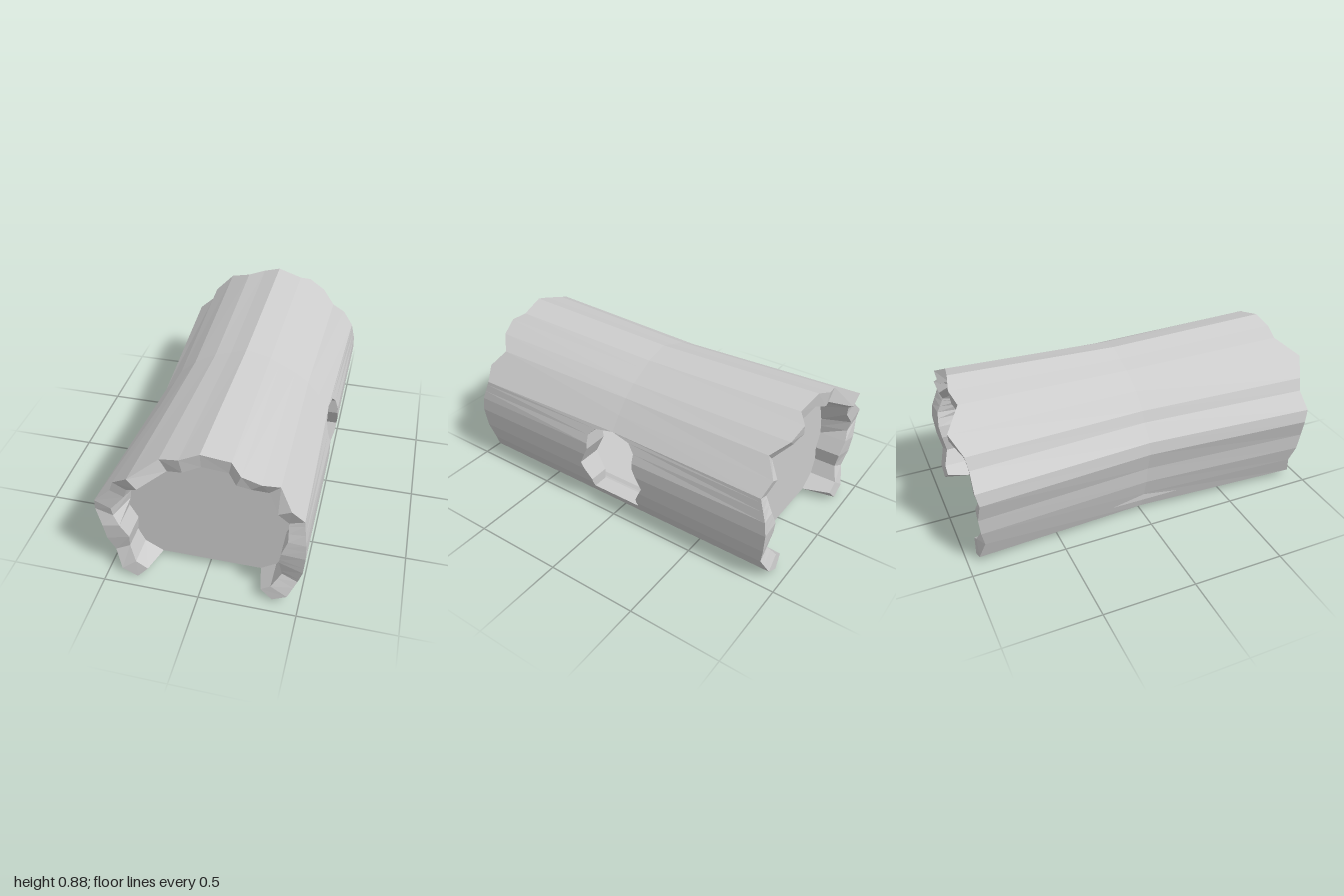
import * as THREE from 'three';

// Front rim, clockwise from the bottom right leg: outer x, outer y, inner x, inner y, z
const RIM = [
  [-0.34, 0, -0.285, 0.06, 0.94], [-0.42, 0.04, -0.345, 0.1, 0.94], [-0.455, 0.145, -0.38, 0.18, 0.91],
  [-0.485, 0.24, -0.37, 0.265, 0.93], [-0.495, 0.335, -0.41, 0.345, 0.94], [-0.525, 0.44, -0.44, 0.4, 0.93],
  [-0.515, 0.51, -0.44, 0.46, 0.945], [-0.43, 0.59, -0.365, 0.55, 0.94], [-0.405, 0.655, -0.345, 0.61, 0.95],
  [-0.31, 0.74, -0.27, 0.675, 1], [-0.18, 0.81, -0.15, 0.735, 0.91], [-0.08, 0.84, -0.07, 0.76, 0.93],
  [0.015, 0.875, 0.015, 0.795, 0.91], [0.155, 0.84, 0.14, 0.765, 0.89], [0.21, 0.81, 0.185, 0.745, 0.94],
  [0.3, 0.76, 0.25, 0.715, 0.92], [0.375, 0.7, 0.32, 0.645, 0.85], [0.44, 0.62, 0.375, 0.58, 0.915],
  [0.5, 0.545, 0.425, 0.51, 0.89], [0.518, 0.43, 0.43, 0.425, 0.93], [0.52, 0.35, 0.4, 0.345, 0.94],
  [0.51, 0.24, 0.39, 0.275, 0.93], [0.485, 0.145, 0.405, 0.175, 0.91], [0.44, 0.055, 0.355, 0.1, 0.94],
  [0.365, 0.015, 0.305, 0.065, 0.94],
];
// Side hole outline: y, half width along z
const HOLE = [[0.545, 0], [0.525, 0.11], [0.48, 0.15], [0.395, 0.15], [0.28, 0.205], [0.17, 0.15], [0.11, 0.15]];
const CAP_Z = 0.78, HOLE_X = 0.378, WALL_X = -0.4;

function holeHalf(y) {
  for (let i = 0; i < HOLE.length - 1; i++) {
    const [y0, w0] = HOLE[i], [y1, w1] = HOLE[i + 1];
    if (y <= y0 && y >= y1) return w0 + (w1 - w0) * (y0 - y) / (y0 - y1);
  }
  return 0;
}

// The log narrows towards its middle
function waist(x, y) {
  const squeeze = x < 0 ? 0.885 : 1 - 0.045 * THREE.MathUtils.clamp((y - 0.43) / 0.115, 0, 1);
  return [x * squeeze, y > 0.6 ? y - (y - 0.6) * 0.1 : Math.max(y, 0.015)];
}

// Ring with waist positions added, split at the heights of the hole corners
function splitRing() {
  const ring = [];
  const full = RIM.map((p) => [...p, ...waist(p[0], p[1])]);
  full.forEach((p, i) => {
    ring.push(p);
    const q = full[i + 1];
    if (!q || p[0] < 0.4) return;
    for (const [y] of HOLE) {
      if (y < p[1] - 1e-6 && y > q[1] + 1e-6) {
        const t = (p[1] - y) / (p[1] - q[1]);
        const r = p.map((v, k) => v + (q[k] - v) * t);
        r[1] = y;
        ring.push(r);
      }
    }
  });
  return ring;
}

// Collects front-half polygons and mirrors them to the back
class Faces {
  constructor() { this.v = []; }
  add(...pts) {
    const fan = (p) => {
      for (let i = 1; i < p.length - 1; i++) this.v.push(...p[0], ...p[i], ...p[i + 1]);
    };
    fan(pts);
    fan(pts.map(([x, y, z]) => [x, y, -z]).reverse());
  }
  mesh(name, material) {
    const g = new THREE.BufferGeometry();
    g.setAttribute('position', new THREE.Float32BufferAttribute(this.v, 3));
    g.computeVertexNormals();
    const m = new THREE.Mesh(g, material);
    m.name = name;
    return m;
  }
}

export function createModel() {
  const group = new THREE.Group();
  group.name = 'hollowLog';
  const wood = new THREE.MeshStandardMaterial({ color: 0xcccccc, flatShading: true, side: THREE.DoubleSide });
  wood.name = 'greyWood';

  const ring = splitRing(), last = ring.length - 1;
  const outer = ring.map(([x, y, , , z]) => [x, y, z]);
  const inner = ring.map(([, , x, y, z]) => [x, y, z - 0.01]);
  const middle = ring.map((p) => [p[5], p[6], 0]);
  const besideHole = ([x, y]) => x > 0.4 && y < 0.546 && y > 0.109;
  // Round arch where the inside meets the recessed end
  const deep = inner.map(([x, y], i) => {
    if (i === 0) return [-0.25, 0.045, CAP_Z];
    if (i === last) return [0.275, 0.045, CAP_Z];
    if (y < 0.36) return [x, y, CAP_Z];
    const a = Math.atan2(y - 0.36, x - 0.01);
    return [0.01 + 0.412 * Math.cos(a), 0.36 + 0.412 * Math.sin(a), CAP_Z];
  });
  // Cross-section of the hollow: upright walls under a thin roof
  const room = deep.map((d, i) => {
    const [x, y] = middle[i];
    if (besideHole(outer[i])) return [HOLE_X, y, CAP_Z];
    if (y > 0.55) return [x * 0.97, y - 0.015, CAP_Z];
    if (i > 0 && x < 0) return [WALL_X, d[1], CAP_Z];
    return d;
  });

  const bark = new Faces(), rim = new Faces(), inside = new Faces(), hollow = new Faces();
  const cap = new Faces(), hole = new Faces(), base = new Faces();
  const centre = [0, 0.38, CAP_Z];
  const atMid = (p) => [p[0], p[1], 0];
  // Point of the bark on the hole outline
  const holeEdge = (i) => {
    const w = holeHalf(outer[i][1]), t = w / outer[i][2];
    return [THREE.MathUtils.lerp(middle[i][0], outer[i][0], t), outer[i][1], w];
  };

  for (let i = 0; i < last; i++) {
    const j = i + 1;
    let a = middle[i], b = middle[j], a2 = atMid(room[i]), b2 = atMid(room[j]);
    if (besideHole(outer[i]) && besideHole(outer[j])) {
      // Walls of the hole, through to the hollow
      a = holeEdge(i);
      b = holeEdge(j);
      a2 = [HOLE_X, a[1], a[2]];
      b2 = [HOLE_X, b[1], b[2]];
      hole.add(a, b, b2, a2);
      if (b[1] < 0.111) hole.add(atMid(b2), b2, b, atMid(b));
    }
    bark.add(outer[i], outer[j], b, a);
    hollow.add(room[i], a2, b2, room[j]);
    rim.add(outer[i], inner[i], inner[j], outer[j]);
    inside.add(inner[i], deep[i], deep[j], inner[j]);
    cap.add(centre, deep[j], deep[i]);
  }
  cap.add(centre, deep[0], deep[last]);
  hollow.add(room[last], atMid(room[last]), atMid(room[0]), room[0]);

  // Inner faces of the feet
  inside.add(outer[0], deep[0], inner[0]);
  inside.add(outer[last], inner[last], deep[last]);

  // Underside, rising to the recessed ends
  const floorR = [-0.25, 0.015, 0], floorL = [0.275, 0.015, 0];
  base.add(outer[0], middle[0], floorR, deep[0]);
  base.add(deep[0], floorR, floorL, deep[last]);
  base.add(deep[last], floorL, middle[last], outer[last]);

  group.add(
    bark.mesh('bark', wood), rim.mesh('brokenRims', wood), inside.mesh('innerWalls', wood),
    hollow.mesh('hollow', wood), cap.mesh('recessedEnds', wood), hole.mesh('sideHole', wood),
    base.mesh('underside', wood));
  return group;
}
